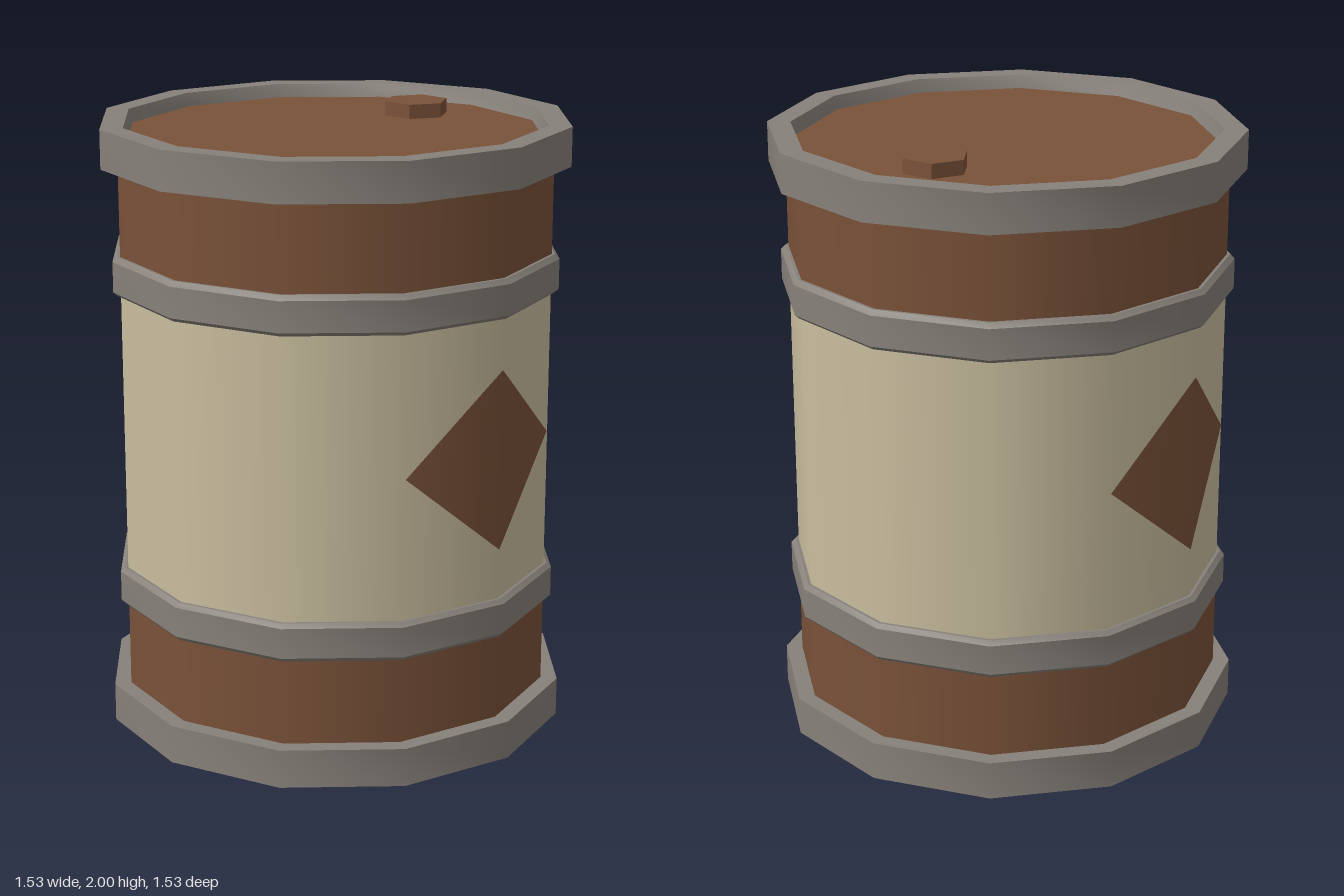
import * as THREE from 'three';
import { toCreasedNormals } from 'three/addons/utils/BufferGeometryUtils.js';

const SIDES = 12;
const R = 0.71;

const material = (name, color) => {
  const m = new THREE.MeshStandardMaterial({ color });
  m.name = name;
  return m;
};

export function createModel() {
  const brown = material('rust brown', 0x7a5239);
  const cream = material('cream paint', 0xcabe9f);
  const grey = material('steel grey', 0x87817a);
  const barrel = new THREE.Group();
  barrel.name = 'barrel';

  const add = (name, geometry, mat, x = 0, y = 0, z = 0) => {
    const mesh = new THREE.Mesh(geometry, mat);
    mesh.name = name;
    mesh.position.set(x, y, z);
    barrel.add(mesh);
    return mesh;
  };

  // Twelve-sided ring: smooth around, sharp along its profile
  const ring = (points) => toCreasedNormals(
    new THREE.LatheGeometry(points.map(([r, y]) => new THREE.Vector2(r, y)), SIDES), 0.6);
  const flip = (points) => points.map(([r, y]) => [r, 2 - y]).reverse();

  // Body: brown ends with a cream middle
  const wall = (name, y0, y1, mat) => add(name,
    new THREE.CylinderGeometry(R, R, y1 - y0, SIDES, 1, true), mat, 0, (y0 + y1) / 2, 0);
  wall('lowerWall', 0.1, 0.48, brown);
  wall('middleWall', 0.48, 1.52, cream);
  wall('upperWall', 1.52, 1.9, brown);

  // End rims, with a recessed lid and base inside them
  const rim = [[0.70, 1.87], [0.765, 1.87], [0.765, 1.997], [0.69, 1.997], [0.677, 1.953]];
  add('topRim', ring(rim), grey);
  add('bottomRim', ring(flip(rim)), grey);
  const lid = [[0.68, 1.953], [0, 1.953]];
  add('lid', ring(lid), brown);
  add('base', ring(flip(lid)), brown);

  // Bevelled hoops
  const hoop = [[0.705, 1.46], [0.72, 1.46], [0.735, 1.473], [0.735, 1.572], [0.72, 1.587], [0.705, 1.587]];
  add('upperHoop', ring(hoop), grey);
  add('lowerHoop', ring(flip(hoop)), grey);

  // Hexagonal bung on the lid
  const bung = toCreasedNormals(new THREE.CylinderGeometry(0.107, 0.107, 0.05, 6), 0.5);
  add('bung', bung, brown, 0.417, 1.975, -0.02);

  // Painted diamonds folded over the front and back edges
  const front = R + 0.003;
  const w = 0.345;
  const side = front - w * Math.tan(Math.PI / 12);
  const diamond = new THREE.BufferGeometry();
  diamond.setAttribute('position', new THREE.Float32BufferAttribute(
    [0, 0.295, front, -w, 0, side, 0, -0.295, front, w, 0, side], 3));
  diamond.setAttribute('normal', new THREE.Float32BufferAttribute(
    [0, 0, 1, -0.5, 0, 0.866, 0, 0, 1, 0.5, 0, 0.866], 3));
  diamond.setIndex([0, 1, 2, 0, 2, 3]);
  add('frontDiamond', diamond, brown, 0, 1, 0);
  add('backDiamond', diamond, brown, 0, 1, 0).rotation.y = Math.PI;

  return barrel;
}
